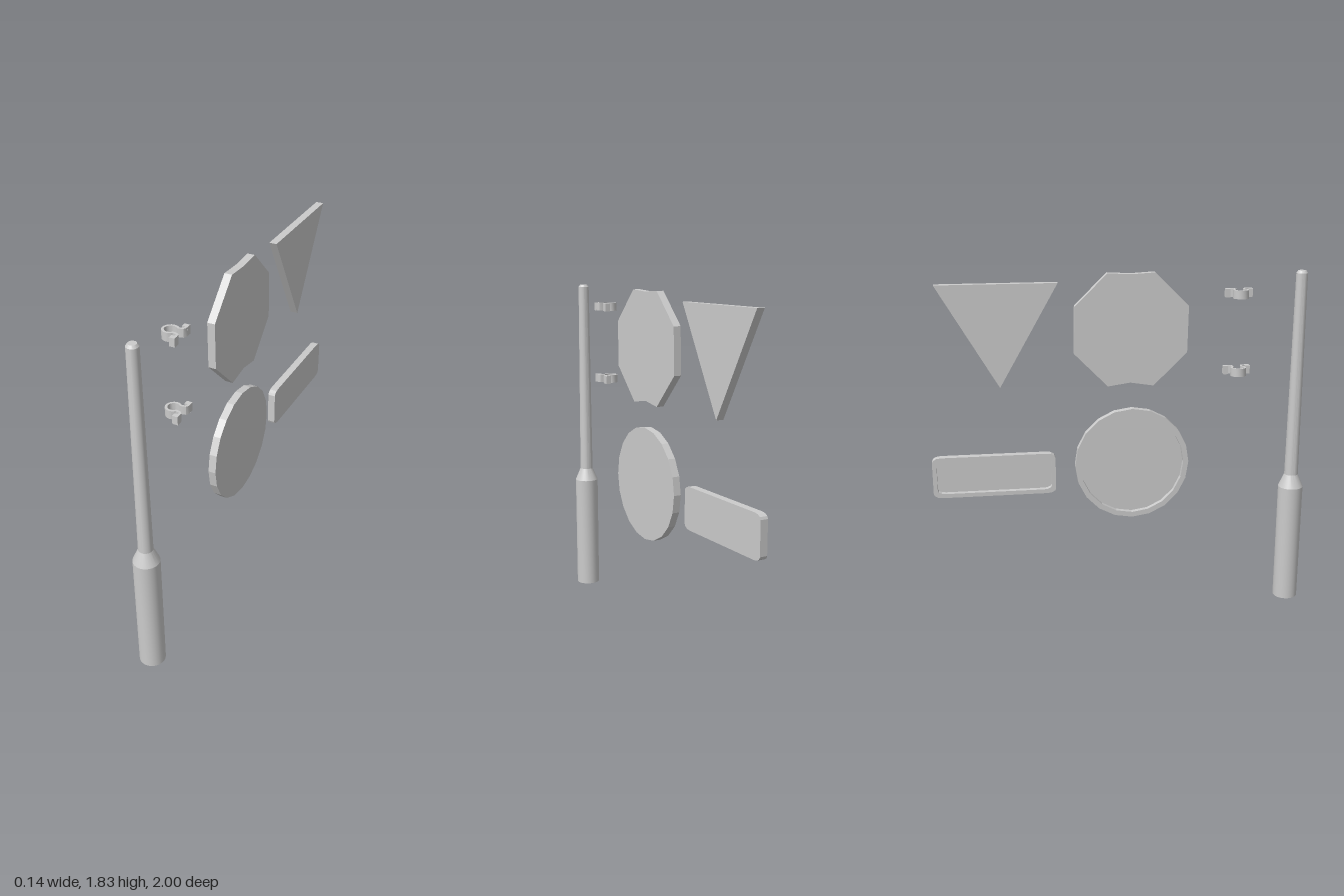
import * as THREE from 'three';
import { toCreasedNormals } from 'three/addons/utils/BufferGeometryUtils.js';

const material = new THREE.MeshStandardMaterial({ color: 0xcccccc });

function mesh(geometry, name, crease = 0.6) {
  const m = new THREE.Mesh(toCreasedNormals(geometry, crease), material);
  m.name = name;
  return m;
}

const V = (x, y) => new THREE.Vector2(x, y);

// Outline is in (-z, y); extruding runs along +x.
function plate(shape, x0, x1, name) {
  const g = new THREE.ExtrudeGeometry(shape, { depth: x1 - x0, bevelEnabled: false });
  g.rotateY(Math.PI / 2).translate(x0, 0, 0);
  return mesh(g, name, 0.25);
}

// Sign tray: flat front panel with a raised rim round the open back
function sign(name, outline, cx, cy, halfW, halfH, rim = 0.028) {
  const group = new THREE.Group();
  group.name = name;
  const sx = 1 - rim / halfW, sy = 1 - rim / halfH;
  const inner = outline.map((p) => V(cx + (p.x - cx) * sx, cy + (p.y - cy) * sy));
  const ring = new THREE.Shape(outline);
  ring.holes.push(new THREE.Path(inner));
  group.add(plate(new THREE.Shape(outline), 0.06, 0.072, 'signPanel'));
  group.add(plate(ring, 0.032, 0.06, 'signRim'));
  return group;
}

// Pipe clamp: omega-shaped strap with a thick foot on each end
function clamp(y) {
  const group = new THREE.Group();
  group.name = 'clamp';
  const half = [V(0.044, 0.05), V(0.043, 0.036), V(0.038, 0.028), V(0.028, 0.025)];
  for (let i = 0; i <= 8; i++) {
    const a = THREE.MathUtils.degToRad(42 + (138 * i) / 8);
    half.push(V(-0.011 + 0.035 * Math.cos(a), 0.035 * Math.sin(a)));
  }
  const line = [...half, ...half.slice(0, -1).reverse().map((p) => V(p.x, -p.y))];
  const offset = (d) => line.map((p, i) => {
    const a = line[Math.max(i - 1, 0)], b = line[Math.min(i + 1, line.length - 1)];
    const t = b.clone().sub(a).normalize();
    return V(p.x - t.y * d, p.y + t.x * d);
  });
  const strap = new THREE.Shape([...offset(0.006), ...offset(-0.006).reverse()]);
  const g = new THREE.ExtrudeGeometry(strap, { depth: 0.044, bevelEnabled: false });
  g.rotateX(Math.PI / 2).translate(0, 0.022, 0);
  group.add(mesh(g, 'clampStrap'));
  for (const s of [-1, 1]) {
    const foot = mesh(new THREE.BoxGeometry(0.029, 0.044, 0.024), 'clampFoot');
    foot.position.set(0.0355, 0, s * 0.059);
    group.add(foot);
  }
  group.position.set(0, y, 0.612);
  return group;
}

export function createModel() {
  const model = new THREE.Group();
  model.name = 'roadSignKit';

  // Post: wide base, shoulder, slightly tapering shaft with chamfered top
  const profile = [[0, 0], [0.067, 0], [0.067, 0.655], [0.037, 0.725], [0.03, 1.82], [0.021, 1.833], [0, 1.833]];
  const post = mesh(new THREE.LatheGeometry(profile.map(([r, y]) => V(r, y)), 24), 'post', 0.35);
  post.position.set(-0.004, 0, 0.933);
  model.add(post);

  model.add(clamp(1.72), clamp(1.313));

  // Round sign
  const circle = [];
  for (let i = 0; i < 20; i++) {
    const a = (i / 20) * Math.PI * 2;
    circle.push(V(-0.058 + 0.307 * Math.cos(a), 0.811 + 0.306 * Math.sin(a)));
  }
  model.add(sign('roundSign', circle, -0.058, 0.811, 0.307, 0.306));

  // Eight-sided sign, a little uneven, with dips in its top and bottom edges
  const octagon = [
    [-0.174, 1.832], [-0.05, 1.825], [0.072, 1.832], [0.241, 1.666], [0.247, 1.422],
    [0.072, 1.244], [-0.046, 1.261], [-0.169, 1.241], [-0.346, 1.415], [-0.351, 1.657],
  ].map(([u, y]) => V(u, y));
  model.add(sign('octagonSign', octagon, -0.052, 1.538, 0.298, 0.294));

  // Triangular sign, point down
  const triangle = [V(0.324, 1.789), V(0.941, 1.789), V(0.631, 1.256)];
  model.add(sign('triangleSign', triangle, 0.632, 1.611, 0.178, 0.178));

  // Rectangular sign with rounded corners
  const rect = [];
  const corners = [[1, 1], [-1, 1], [-1, -1], [1, -1]];
  corners.forEach(([sx, sy], k) => {
    for (let i = 0; i <= 3; i++) {
      const a = (k + i / 3) * Math.PI / 2;
      rect.push(V(0.677 + sx * 0.278 + 0.045 * Math.cos(a), 0.778 + sy * 0.086 + 0.025 * Math.sin(a)));
    }
  });
  model.add(sign('rectangleSign', rect, 0.677, 0.778, 0.323, 0.111, 0.022));

  return model;
}
